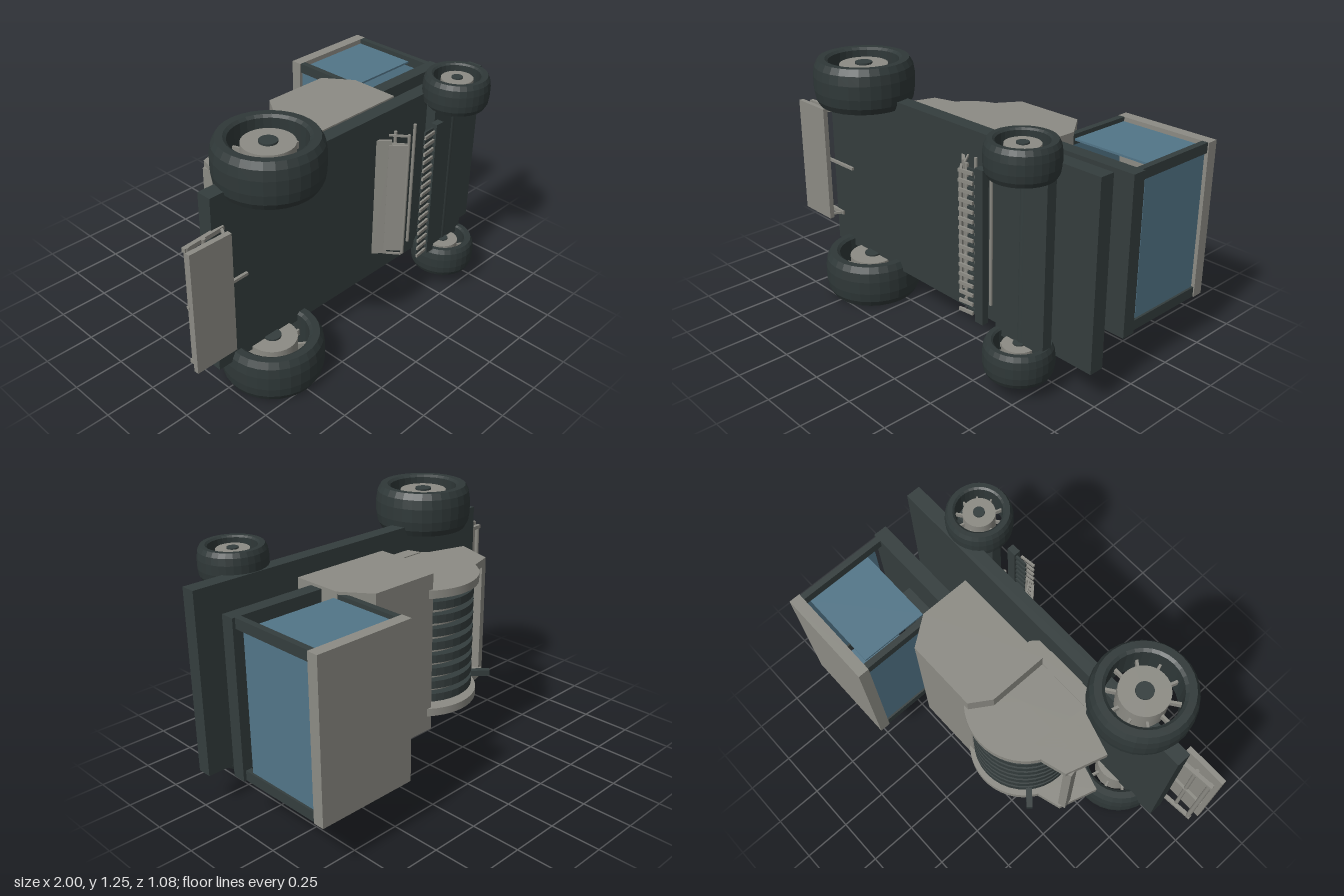
import * as THREE from 'three';

const mat = (name, color) => {
  const m = new THREE.MeshStandardMaterial({ color });
  m.name = name;
  return m;
};

export function createModel() {
  const dark = mat('dark frame', 0x343d3d);
  const rubber = mat('tyre rubber', 0x2f3838);
  const grey = mat('grey steel', 0x8c8b84);
  const glass = mat('blue glass', 0x527588);

  // Vehicle space: x along the chassis, y up, z across; laid on its side at the end.
  const vehicle = new THREE.Group();
  vehicle.name = 'vehicle';

  const add = (name, geo, material, x = 0, y = 0, z = 0, parent = vehicle) => {
    const m = new THREE.Mesh(geo, material);
    m.name = name;
    m.position.set(x, y, z);
    parent.add(m);
    return m;
  };
  // Box given by its limits
  const box = (name, material, x0, x1, y0, y1, z0, z1) =>
    add(name, new THREE.BoxGeometry(x1 - x0, y1 - y0, z1 - z0), material,
      (x0 + x1) / 2, (y0 + y1) / 2, (z0 + z1) / 2);
  // Flat bar between two points of the side profile
  const bar = (name, material, x0, y0, x1, y1, thick, width, z = 0) => {
    const m = add(name, new THREE.BoxGeometry(Math.hypot(x1 - x0, y1 - y0), thick, width),
      material, (x0 + x1) / 2, (y0 + y1) / 2, z);
    m.rotation.z = Math.atan2(y1 - y0, x1 - x0);
    return m;
  };
  // Side profile extruded across the vehicle
  const prism = (name, material, pts, width, z = 0) => {
    const shape = new THREE.Shape(pts.map(p => new THREE.Vector2(...p)));
    const geo = new THREE.ExtrudeGeometry(shape, { depth: width, bevelEnabled: false });
    geo.translate(0, 0, -width / 2);
    return add(name, geo, material, 0, 0, z);
  };
  const crossCylinder = (r, width, seg = 32) =>
    new THREE.CylinderGeometry(r, r, width, seg).rotateX(Math.PI / 2);
  // Closed lathe section around the cross axis
  const ring = (pts, seg) => {
    const v = [...pts, pts[0]].map(p => new THREE.Vector2(...p));
    const geo = new THREE.LatheGeometry(v, seg).rotateX(Math.PI / 2).toNonIndexed();
    geo.computeVertexNormals();
    return geo;
  };

  // Chassis and axle beam
  box('chassis', dark, -0.82, 0.995, -0.28, -0.205, -0.452, 0.452);
  box('front axle beam', dark, 0.51, 0.8, -0.37, -0.318, -0.425, 0.425);
  box('front axle mount', dark, 0.6, 0.72, -0.32, -0.28, -0.2, 0.2);

  // Wheels
  const wheel = (name, x, y, z, r, w) => {
    const g = new THREE.Group();
    g.name = name;
    g.position.set(x, y, z);
    vehicle.add(g);
    const h = w / 2, a = r * 0.7;
    add('tyre', ring([[a, -h * 0.9], [r * 0.76, -h], [r * 0.9, -h], [r * 0.97, -h * 0.72],
      [r, -h * 0.3], [r, h * 0.3], [r * 0.97, h * 0.72], [r * 0.9, h], [r * 0.76, h],
      [a, h * 0.9]], 30), rubber, 0, 0, 0, g);
    add('rim disc', crossCylinder(r * 0.48, w * 0.72), grey, 0, 0, 0, g);
    add('hub', crossCylinder(r * 0.17, w * 0.8, 20), dark, 0, 0, 0, g);
    for (let i = 0; i < 10; i++) {
      const t = i * Math.PI / 5;
      const s = add('spoke', new THREE.BoxGeometry(r * 0.26, r * 0.05, w * 0.15), grey,
        Math.cos(t) * r * 0.59, Math.sin(t) * r * 0.59, 0, g);
      s.rotation.z = t;
    }
  };
  for (const s of [-1, 1]) {
    wheel('rear wheel', -0.505, -0.29, s * 0.515, 0.246, 0.222);
    wheel('front wheel', 0.66, -0.372, s * 0.468, 0.163, 0.158);
  }
  add('rear axle', crossCylinder(0.035, 0.9, 16), dark, -0.505, -0.245, 0);
  add('front axle', crossCylinder(0.022, 0.85, 16), dark, 0.66, -0.352, 0);

  // Main body housing
  prism('body housing', grey, [[-0.045, -0.13], [0.488, -0.13], [0.488, 0.13], [0.385, 0.27],
    [0.02, 0.27], [-0.045, 0.17]], 0.804);

  // Ringed drum between its side plates
  const cx = -0.13, cy = 0.055;
  add('drum core', crossCylinder(0.18, 0.58), grey, cx, cy, 0);
  const ringGeo = ring([[0.215, -0.02], [0.257, -0.02], [0.257, 0.02], [0.215, 0.02]], 36);
  for (let i = 0; i < 8; i++) add('drum ring', ringGeo, dark, cx, cy, (i - 3.5) * 0.068);
  for (const s of [-1, 1]) {
    const z = s * 0.305;
    add('drum side plate', crossCylinder(0.28, 0.04, 48), grey, cx, cy, z);
    prism('plate foot', grey, [[-0.3, -0.2], [0.05, -0.2], [0.08, -0.165], [0.08, -0.13],
      [-0.32, -0.13]], 0.05, z);
    prism('rear bracket', grey, [[-0.56, -0.05], [-0.33, -0.12], [-0.3, 0.17], [-0.38, 0.185],
      [-0.5, 0.15]], 0.04, z);
  }
  bar('rear cross post', grey, -0.515, 0.11, -0.475, 0.12, 0.05, 0.6);
  bar('drum lever', dark, -0.41, 0.275, -0.33, 0.205, 0.03, 0.03, -0.24);

  // Cab
  box('cab floor', dark, 0.45, 0.97, -0.04, 0.03, -0.388, 0.388);
  box('cab seat base', dark, 0.575, 0.745, 0.03, 0.125, -0.16, 0.16);
  box('cab roof', grey, 0.45, 0.962, 0.49, 0.547, -0.388, 0.388);
  for (const s of [-1, 1]) {
    for (const x of [0.455, 0.925])
      box('cab post', dark, x, x + 0.031, 0.03, 0.49, s * 0.363 - 0.025, s * 0.363 + 0.025);
    box('side window', glass, 0.5, 0.905, 0.125, 0.47, s * 0.37 - 0.005, s * 0.37 + 0.005);
  }
  box('windscreen', glass, 0.935, 0.945, 0.067, 0.487, -0.338, 0.338);
  box('rear window', glass, 0.465, 0.475, 0.067, 0.487, -0.338, 0.338);

  // Rear hitch and platform
  box('rear platform', grey, -1, -0.78, -0.36, -0.335, -0.307, 0.307);
  add('platform rail', crossCylinder(0.012, 0.6, 10), grey, -0.965, -0.297, 0);
  add('platform rail', crossCylinder(0.01, 0.6, 10), grey, -0.88, -0.3, 0);
  bar('hitch rod', grey, -0.98, -0.297, -0.645, -0.29, 0.014, 0.014);
  for (const s of [-1, 1]) {
    bar('hitch arm', grey, -0.98, -0.297, -0.76, -0.28, 0.02, 0.02, s * 0.29);
    bar('platform hanger', grey, -0.8, -0.34, -0.77, -0.28, 0.012, 0.012, s * 0.29);
  }

  // Pickup tool under the chassis
  bar('pickup lever', dark, 0.1, -0.18, 0.145, -0.215, 0.03, 0.06);
  bar('slat', grey, 0.195, -0.275, 0.25, -0.325, 0.014, 0.645);
  bar('slat', grey, 0.235, -0.32, 0.295, -0.385, 0.012, 0.6);
  for (const [x, y] of [[0.322, -0.37], [0.425, -0.32], [0.305, -0.3]])
    add('pickup rod', crossCylinder(0.008, 0.68, 8), grey, x, y, 0);
  for (let i = 0; i < 16; i++) {
    const z = (i - 7.5) * 0.045;
    bar('cutter knife', grey, 0.35, -0.442, 0.43, -0.432, 0.01, 0.016, z);
    bar('pickup tine', grey, 0.255, -0.3, 0.31, -0.372, 0.008, 0.01, z);
    bar('cutter finger', dark, 0.38, -0.415, 0.45, -0.412, 0.01, 0.024, z);
  }
  box('cutter bar', dark, 0.443, 0.493, -0.435, -0.4, -0.37, 0.37);

  // Lay the vehicle on its side
  vehicle.rotation.x = -Math.PI / 2;
  vehicle.position.y = 0.627;
  const model = new THREE.Group();
  model.name = 'harvesting vehicle';
  model.add(vehicle);
  return model;
}
